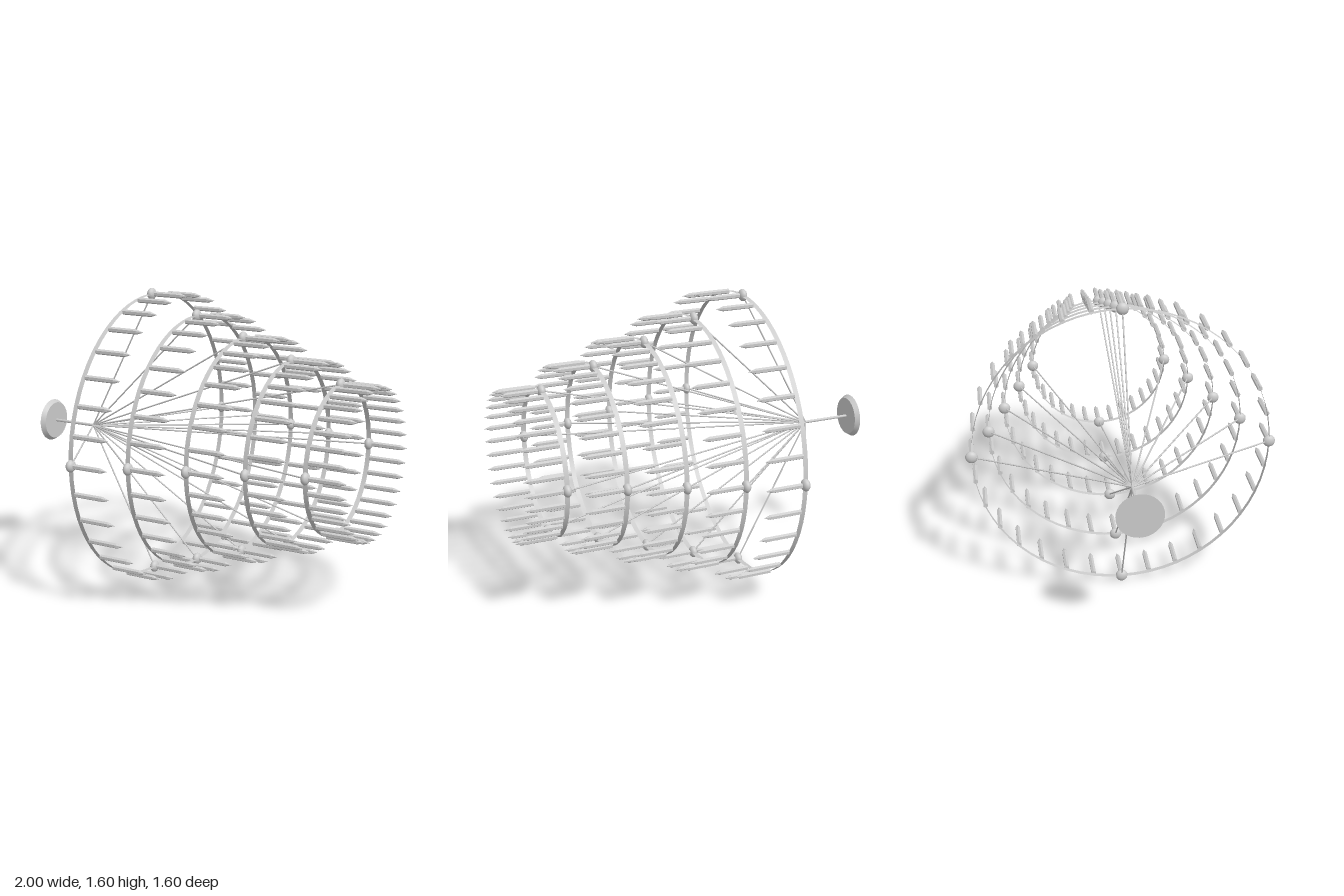
import * as THREE from 'three';

const TIERS = 5, CANDLES = 32, AXIS_Y = 0.8;
const APEX = new THREE.Vector3(-0.72, 0, 0);

const grey = new THREE.MeshStandardMaterial({ color: 0xcccccc });
const greyFlat = new THREE.MeshStandardMaterial({ color: 0xcccccc, flatShading: true });
const greyThin = new THREE.MeshStandardMaterial({ color: 0xcccccc, side: THREE.DoubleSide });

function add(parent, name, geometry, material = grey) {
  const mesh = new THREE.Mesh(geometry, material);
  mesh.name = name;
  parent.add(mesh);
  return mesh;
}

// Turns a geometry built along y so that it runs along +x
const alongX = (geometry) => geometry.rotateZ(-Math.PI / 2);

// Thin straight bar between two points
function bar(parent, name, a, b, radius) {
  const dir = b.clone().sub(a);
  const mesh = add(parent, name, new THREE.CylinderGeometry(radius, radius, dir.length(), 8));
  mesh.position.copy(a).add(b).multiplyScalar(0.5);
  mesh.quaternion.setFromUnitVectors(new THREE.Vector3(0, 1, 0), dir.normalize());
}

export function createModel() {
  const model = new THREE.Group();
  model.name = 'tieredChandelier';
  const body = new THREE.Group();
  body.name = 'chandelierBody';
  body.position.y = AXIS_Y;
  model.add(body);

  // Mounting plate, tapered towards the stem
  const plate = add(body, 'mountingPlate', alongX(new THREE.CylinderGeometry(0.102, 0.117, 0.025, 32)));
  plate.position.x = -0.9875;

  // Stem from the plate to the point where the hanging rods meet
  bar(body, 'stem', new THREE.Vector3(-0.98, 0, 0), APEX, 0.008);

  // Six-sided candle with a pointed tip
  const candleProfile = [[0, 0.013], [0.0135, 0.013], [0.0135, 0.178], [0, 0.217]]
    .map(([r, y]) => new THREE.Vector2(r, y));
  const candleGeometry = alongX(new THREE.LatheGeometry(candleProfile, 6).rotateY(Math.PI / 6));

  // Flattened ball joint
  const jointGeometry = new THREE.SphereGeometry(0.032, 16, 12).scale(0.68, 1, 1);

  for (let i = 0; i < TIERS; i++) {
    const radius = 0.767 - 0.0945 * i;
    const x = -0.322 + 0.276 * i;
    const tier = new THREE.Group();
    tier.name = `tier${i + 1}`;
    body.add(tier);

    // Thin open band
    const ring = add(tier, 'ringBand',
      alongX(new THREE.CylinderGeometry(radius, radius, 0.026, 64, 1, true)), greyThin);
    ring.position.x = x;

    for (let k = 0; k < CANDLES; k++) {
      const angle = (k / CANDLES) * Math.PI * 2;
      const p = new THREE.Vector3(x, Math.cos(angle) * radius, Math.sin(angle) * radius);
      add(tier, 'candle', candleGeometry, greyFlat).position.copy(p);

      // Joint and hanging rod on each quarter of the ring
      if (k % (CANDLES / 4) === 0) {
        add(tier, 'ballJoint', jointGeometry).position.copy(p);
        bar(tier, 'hangingRod', APEX, p, 0.004);
      }
    }
  }
  return model;
}
